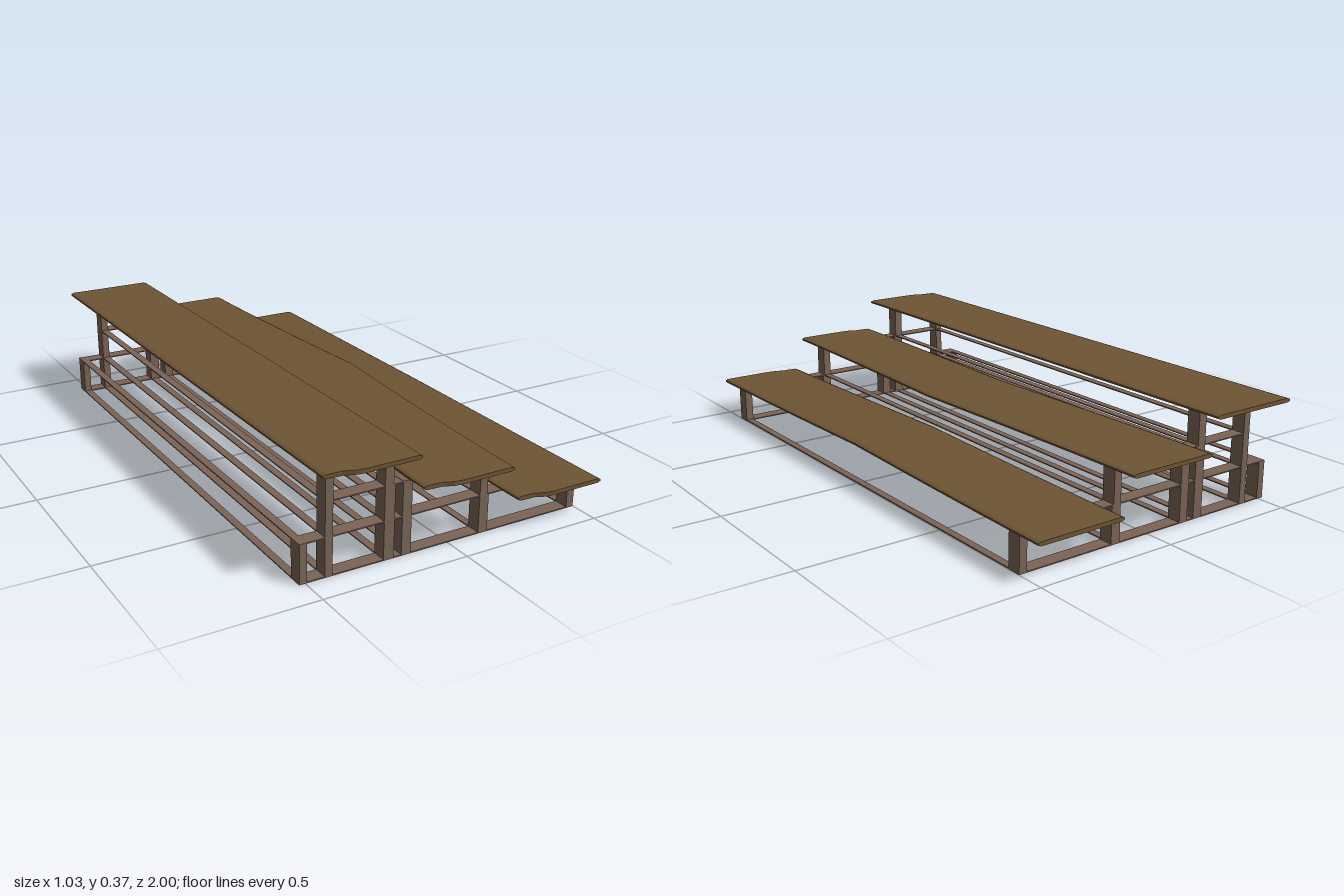
import * as THREE from 'three';

const wood = new THREE.MeshStandardMaterial({ color: 0x6e5434, flatShading: true });
const metal = new THREE.MeshStandardMaterial({ color: 0x7a6455, flatShading: true });

// Warp of a board along its length: strongest halfway, fading to both ends
const warp = (z) => Math.pow(Math.max(0, 1 - Math.abs(z)), 1.4);

// Long thin board with bevelled edges, a slight bow and a worn front end
function board(name, x, y, width, bowX, bowY) {
  const geo = new THREE.BoxGeometry(1, 1, 1, 10, 1, 24);
  const p = geo.attributes.position;
  for (let i = 0; i < p.count; i++) {
    let u = p.getX(i);
    const edge = Math.abs(u) > 0.49;
    if (Math.abs(Math.abs(u) - 0.4) < 0.01) u = Math.sign(u) * 0.465;
    const t = p.getZ(i) + 0.5;
    const notch = 0.02 * THREE.MathUtils.clamp((-0.17 - u) / 0.15, 0, 1);
    const z = -1 + t * 2 - (t > 0.99 ? notch : 0);
    const w = warp(z);
    const skew = 0.008 * t * (0.5 - u);
    p.setXYZ(i, x + u * width + skew + bowX * w,
      y + p.getY(i) * (edge ? 0.006 : 0.014) + bowY * w, z);
  }
  geo.computeVertexNormals();
  const mesh = new THREE.Mesh(geo, wood);
  mesh.name = name;
  return mesh;
}

function bar(name, w, h, d, x, y, z) {
  const mesh = new THREE.Mesh(new THREE.BoxGeometry(w, h, d), metal);
  mesh.name = name;
  mesh.position.set(x, y, z);
  return mesh;
}

export function createModel() {
  const root = new THREE.Group();
  root.name = 'tieredBench';

  // Three stepped boards
  root.add(
    board('upperBoard', -0.338, 0.366, 0.324, 0, 0),
    board('middleBoard', 0.0, 0.252, 0.322, 0.045, 0.008),
    board('lowerBoard', 0.352, 0.132, 0.32, -0.01, 0.009),
  );

  // Uprights, the same at the front and back: x, width, height
  const frame = new THREE.Group();
  frame.name = 'frame';
  const legs = [
    [-0.507, 0.025, 0.13], [-0.422, 0.026, 0.36], [-0.218, 0.03, 0.36],
    [-0.203, 0.012, 0.245], [-0.153, 0.033, 0.246], [0.13, 0.028, 0.246],
    [0.147, 0.006, 0.13], [0.485, 0.028, 0.128],
  ];
  for (const [x, w, h] of legs)
    for (const s of [-1, 1]) frame.add(bar('leg', w, h, 0.05, x, h / 2, s * 0.875));

  // Flat strips at each level: height, ends of the cross rails, x of the long rails
  const levels = [
    [0.002, -0.52, 0.499, [-0.507, -0.422, -0.218, -0.153, 0.13, 0.485]],
    [0.129, -0.52, 0.499, [-0.507, -0.422, -0.218, -0.153, 0.13]],
    [0.243, -0.435, 0.144, [-0.422, -0.218, -0.153]],
  ];
  for (const [y, x0, x1, xs] of levels) {
    for (const s of [-1, 1])
      frame.add(bar('crossRail', x1 - x0, 0.004, 0.05, (x0 + x1) / 2, y, s * 0.875));
    for (const x of xs) frame.add(bar('longRail', 0.026, 0.004, 1.78, x, y, 0));
  }
  root.add(frame);
  return root;
}
